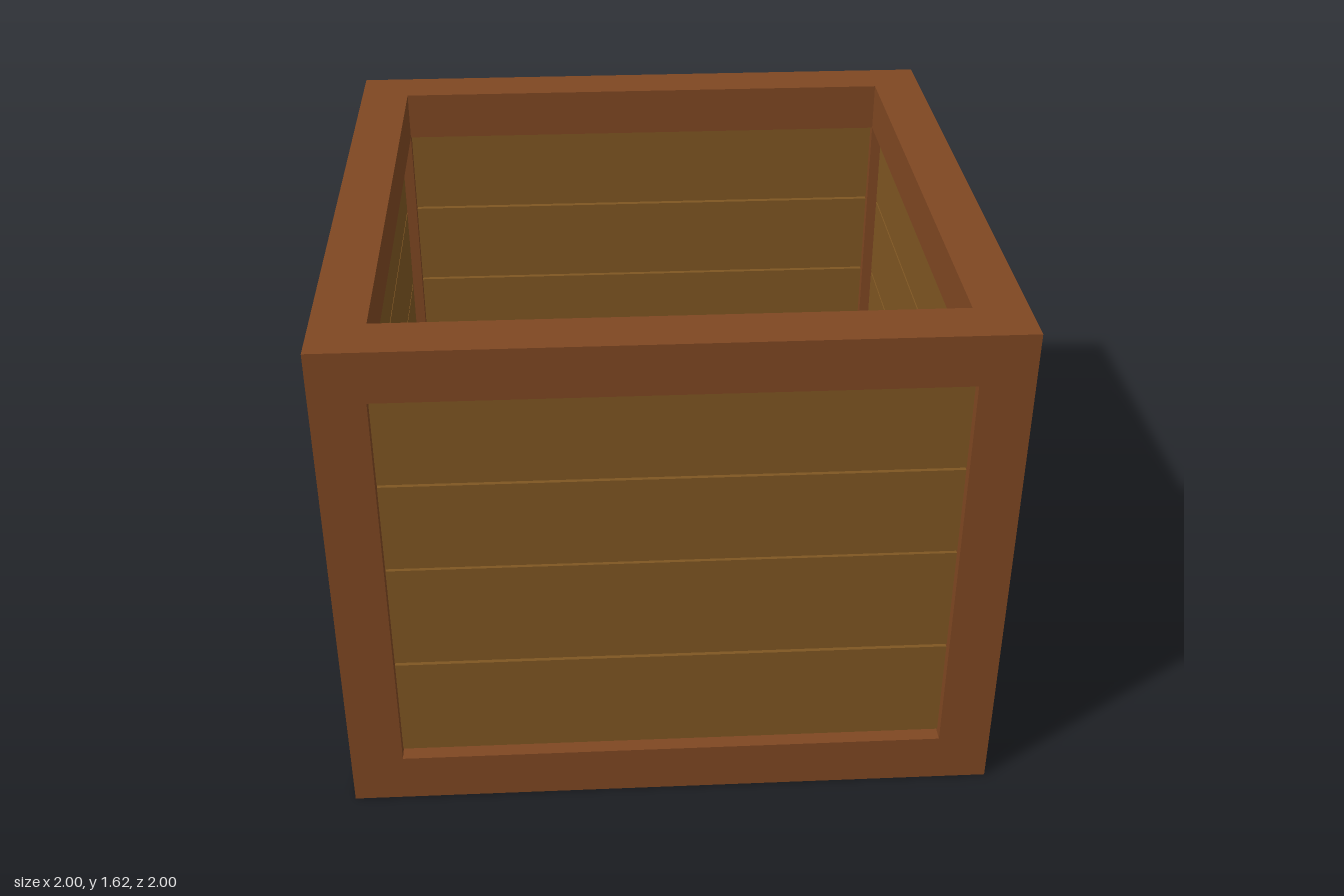
import * as THREE from 'three';

const H = 1.615;      // crate height
const BAR = 0.16;     // square frame timber
const IN = 1 - BAR;   // half width of the openings

export function createModel() {
  const frameWood = new THREE.MeshStandardMaterial({ color: 0x7f4722 });
  frameWood.name = 'frameWood';
  const plankWood = new THREE.MeshStandardMaterial({ color: 0x7f5622 });
  plankWood.name = 'plankWood';

  const crate = new THREE.Group();
  crate.name = 'crate';

  function box(parent, name, material, size, position) {
    const mesh = new THREE.Mesh(new THREE.BoxGeometry(...size), material);
    mesh.name = name;
    mesh.position.set(...position);
    parent.add(mesh);
    return mesh;
  }

  // Square ring lying flat, with its underside at height y
  function ring(name, y) {
    const square = (h) => [[-h, -h], [h, -h], [h, h], [-h, h]].map(([a, b]) => new THREE.Vector2(a, b));
    const shape = new THREE.Shape(square(1));
    shape.holes.push(new THREE.Path(square(IN).reverse()));
    const geometry = new THREE.ExtrudeGeometry(shape, { depth: BAR, bevelEnabled: false });
    geometry.rotateX(-Math.PI / 2);
    const mesh = new THREE.Mesh(geometry, frameWood);
    mesh.name = name;
    mesh.position.y = y;
    crate.add(mesh);
  }
  ring('bottomFrame', 0);
  ring('topFrame', H - BAR);

  // Corner posts between the two rings
  for (const x of [-1, 1]) {
    for (const z of [-1, 1]) {
      box(crate, 'cornerPost', frameWood, [BAR, H - 2 * BAR, BAR],
        [x * (1 - BAR / 2), H / 2, z * (1 - BAR / 2)]);
    }
  }

  // Four walls of recessed planks with narrow grooves between them
  const planks = [[0.17, 0.505], [0.515, 0.86], [0.868, 1.155], [1.163, 1.45]];
  const sides = ['front', 'left', 'back', 'right'];
  sides.forEach((side, i) => {
    const wall = new THREE.Group();
    wall.name = side + 'Wall';
    wall.rotation.y = i * Math.PI / 2;
    for (const [low, high] of planks) {
      box(wall, 'plank', plankWood, [2 * IN, high - low, 0.09], [0, (low + high) / 2, 0.92]);
    }
    // Core closing the grooves
    box(wall, 'plankCore', plankWood, [2 * IN, H - 2 * BAR, 0.03], [0, H / 2, 0.92]);
    crate.add(wall);
  });

  // Floor panel, recessed from both faces of the bottom frame
  box(crate, 'floor', plankWood, [2 * IN, 0.09, 2 * IN], [0, 0.08, 0]);

  return crate;
}
